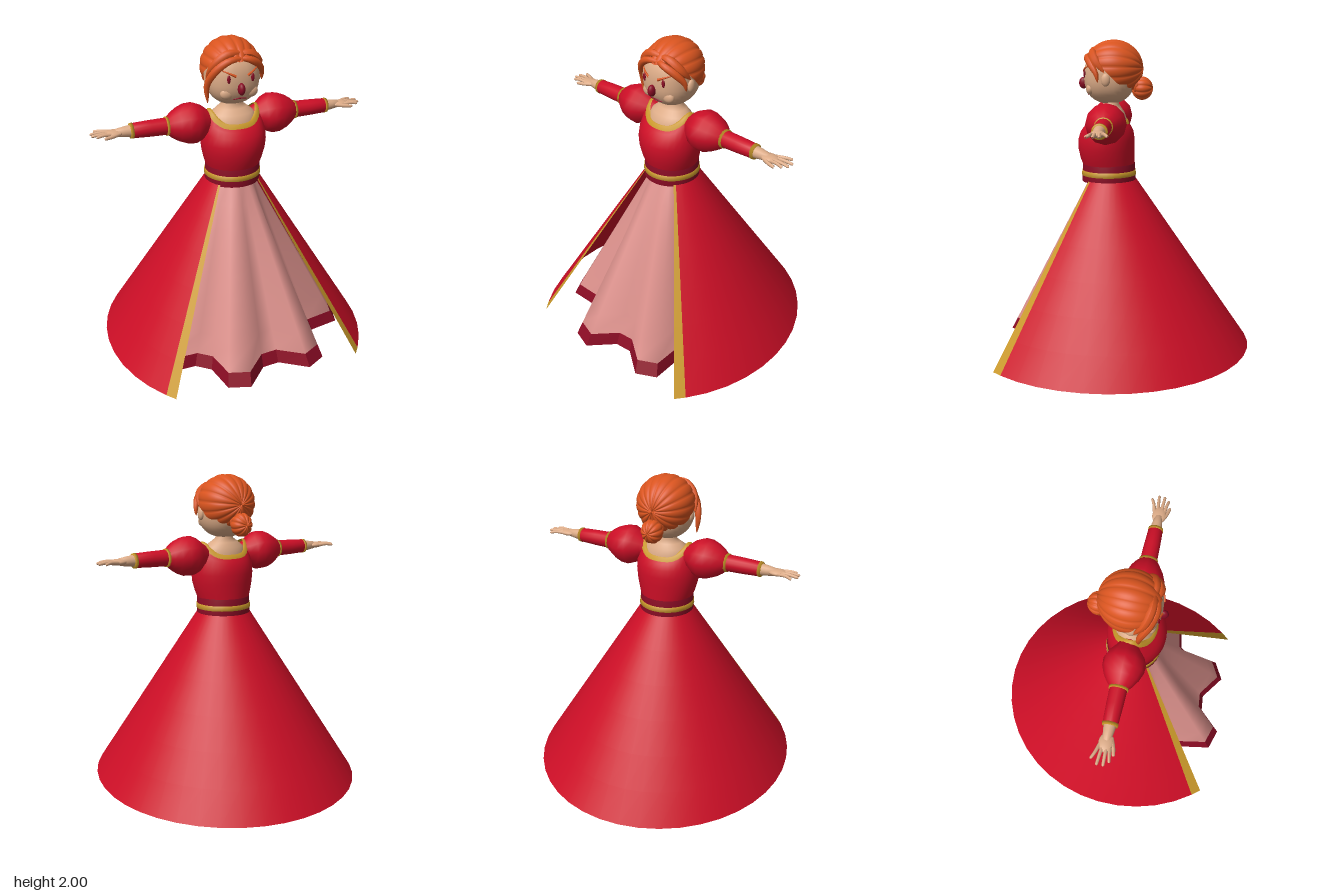
import * as THREE from 'three';

const paint = (name, color, side = THREE.FrontSide) => {
  const m = new THREE.MeshStandardMaterial({ color, side });
  m.name = name;
  return m;
};

// Grid surface from a rule fn(u, v) -> [x, y, z]; closed wraps in u
function surface(nu, nv, closed, fn) {
  const pos = [], idx = [], cols = closed ? nu : nu + 1;
  for (let j = 0; j <= nv; j++)
    for (let i = 0; i < cols; i++) pos.push(...fn(i / nu, j / nv, j));
  for (let j = 0; j < nv; j++)
    for (let i = 0; i < nu; i++) {
      const k = (i + 1) % cols, a = j * cols + i, b = j * cols + k;
      idx.push(a, b, b + cols, a, b + cols, a + cols);
    }
  const g = new THREE.BufferGeometry();
  g.setAttribute('position', new THREE.Float32BufferAttribute(pos, 3));
  g.setIndex(idx);
  g.computeVertexNormals();
  return g;
}

// Stacked ovals: rows of [y, half width, front z, back z, lift at the sides]
const ovals = (rows, n = 32) => surface(n, rows.length - 1, true, (u, v, j) => {
  const [y, rx, zf, zb, lift = 0] = rows[j], a = u * Math.PI * 2;
  return [rx * Math.sin(a), y + lift * Math.sin(a) ** 4,
    (zf + zb) / 2 + (zf - zb) / 2 * Math.cos(a)];
});

// Tube that follows a curve and swells and thins by a rule
function strand(points, radius, taper) {
  const curve = new THREE.CatmullRomCurve3(points.map(p => new THREE.Vector3(...p)));
  const seg = 16, sides = 8;
  const g = new THREE.TubeGeometry(curve, seg, radius, sides);
  const p = g.attributes.position, v = new THREE.Vector3();
  for (let i = 0; i < p.count; i++) {
    const t = Math.floor(i / (sides + 1)) / seg, c = curve.getPointAt(t);
    v.fromBufferAttribute(p, i).sub(c).multiplyScalar(taper(t)).add(c);
    p.setXYZ(i, v.x, v.y, v.z);
  }
  g.computeVertexNormals();
  return g;
}
const leaf = t => 0.08 + 0.92 * Math.sin(Math.PI * Math.min(1, 0.12 + t * 0.88)) ** 0.7;

export function createModel() {
  const root = new THREE.Group();
  root.name = 'woman in gown';
  const D = THREE.DoubleSide;
  const red = paint('red cloth', 0xcc0e26, D), dark = paint('dark red cloth', 0x8a0c24, D);
  const gold = paint('gold trim', 0xc9982a, D), pink = paint('pink cloth', 0xdc918c, D);
  const skin = paint('skin', 0xdcab87), hair = paint('hair', 0xd9541f, D);

  const add = (name, geo, mat, parent = root) => {
    const m = new THREE.Mesh(geo, mat);
    m.name = name;
    parent.add(m);
    return m;
  };
  const ball = (name, mat, at, size, parent = root) => {
    const m = add(name, new THREE.SphereGeometry(1, 20, 14), mat, parent);
    m.position.set(...at);
    m.scale.set(...size);
    return m;
  };

  // Overskirt, open at the front, with gold edges
  const over = (a0, a1, n) => surface(n, 6, false, (u, v) => {
    const a = THREE.MathUtils.degToRad(a0 + (a1 - a0) * u), c = Math.cos(a);
    const rx = 0.857 + (0.175 - 0.857) * v;
    const rz = (c > 0 ? 0.95 : 0.92) * (1 - v) + 0.175 * v;
    return [rx * Math.sin(a), 0.01 + 1.1 * v, 0.1 + 0.005 * v + rz * c];
  });
  add('overskirt', over(50, 310, 30), red);
  add('leftSkirtTrim', over(45.5, 50, 1), gold);
  add('rightSkirtTrim', over(310, 314.5, 1), gold);

  // Pleated underskirt: eight flat-topped folds
  const under = (y0, y1, nv) => surface(32, nv, true, (u, v) => {
    const k = Math.round(u * 32), a = k * Math.PI / 16, y = y0 + (y1 - y0) * v;
    const wide = k % 4 < 2 ? 0.565 : 0.725;
    const r = wide + (0.14 - wide) * y / 1.1;
    return [r * Math.sin(a), y, 0.1 + r * Math.cos(a)];
  });
  add('underskirt', under(0.08, 1.1, 8), pink);
  const hem = under(0, 0.08, 1).toNonIndexed();
  hem.computeVertexNormals();
  add('underskirtHem', hem, dark);

  // Waistband
  const band = (y0, y1, o) => ovals([
    [y0, 0.165, 0.27, -0.055], [y0, 0.175 + o, 0.28 + o, -0.065 - o],
    [y1, 0.172 + o, 0.277 + o, -0.062 - o], [y1, 0.16, 0.265, -0.05]]);
  add('waistband', band(1.1, 1.215, 0), dark);
  add('waistbandStripe', band(1.14, 1.172, 0.004), gold);

  // Bodice, neckline trim, chest and neck
  add('bodice', ovals([
    [1.2, 0.168, 0.272, -0.057], [1.25, 0.185, 0.29, -0.058], [1.31, 0.2, 0.303, -0.06],
    [1.37, 0.207, 0.304, -0.06], [1.42, 0.203, 0.288, -0.052, 0.02],
    [1.455, 0.185, 0.262, -0.035, 0.06], [1.475, 0.168, 0.24, -0.02, 0.08]]), red);
  add('necklineTrim', ovals([
    [1.47, 0.172, 0.248, -0.026, 0.08], [1.497, 0.158, 0.236, -0.014, 0.08],
    [1.495, 0.14, 0.222, 0.0, 0.08]]), gold);
  add('chestAndNeck', ovals([
    [1.44, 0.16, 0.235, -0.015], [1.5, 0.152, 0.228, -0.008], [1.54, 0.135, 0.2, 0.005],
    [1.57, 0.095, 0.165, 0.025], [1.595, 0.06, 0.145, 0.04], [1.68, 0.055, 0.145, 0.045]]), skin);

  for (const s of [1, -1]) {
    const side = s > 0 ? 'left' : 'right';

    // Arm, turned around the x axis from [x, radius] profiles
    const arm = new THREE.Group();
    arm.name = side + 'Arm';
    arm.position.set(0, 1.495, 0.1);
    root.add(arm);
    const turned = (name, pts, mat, n = 16) => add(name,
      new THREE.LatheGeometry(pts.map(([x, r]) => new THREE.Vector2(r, x)), n)
        .rotateZ(-s * Math.PI / 2), mat, arm);
    turned('puffSleeve', [[0.12, 0.05], [0.165, 0.075], [0.205, 0.108], [0.25, 0.127],
      [0.3, 0.124], [0.35, 0.104], [0.39, 0.078], [0.415, 0.055]], red, 12);
    turned('sleeveBand', [[0.408, 0.03], [0.408, 0.058], [0.426, 0.058], [0.426, 0.03]], gold);
    turned('lowerSleeve', [[0.42, 0.052], [0.52, 0.05], [0.635, 0.045], [0.636, 0.02]], red);
    turned('cuff', [[0.627, 0.02], [0.627, 0.048], [0.645, 0.046], [0.645, 0.02]], gold);
    turned('wrist', [[0.63, 0.038], [0.68, 0.032], [0.73, 0.024], [0.75, 0.0]], skin);
    ball('palm', skin, [s * 0.742, 0, 0], [0.06, 0.02, 0.043], arm);
    const fingers = [[-0.03, 0.85, -0.066], [-0.012, 0.88, -0.025], [0.008, 0.878, 0.012], [0.026, 0.853, 0.042]];
    for (const [z0, x1, z1] of fingers)
      add('finger', strand([[s * 0.75, 0, z0], [s * 0.81, 0.006, (z0 + z1) / 2], [s * x1, 0, z1]],
        0.0115, t => t > 0.97 ? 0.3 : 1 - 0.25 * t), skin, arm);
    add('thumb', strand([[s * 0.71, 0, 0.025], [s * 0.76, -0.005, 0.046], [s * 0.81, -0.008, 0.058]],
      0.013, t => t > 0.97 ? 0.3 : 1 - 0.25 * t), skin, arm);

    // Leg and bare foot
    const leg = add(side + 'Leg', new THREE.CylinderGeometry(0.065, 0.04, 1.05, 14), skin);
    leg.position.set(s * 0.06, 0.6, 0.09);
    ball(side + 'Foot', skin, [s * 0.065, 0.065, 0.13], [0.06, 0.055, 0.1]);
  }

  // Head: a slightly squared ball
  const R = [0.163, 0.173, 0.162], C = [-0.003, 1.772, 0.1], soft = 0.85;
  const head = new THREE.SphereGeometry(1, 32, 24), hp = head.attributes.position;
  for (let i = 0; i < hp.count; i++) {
    const p = [hp.getX(i), hp.getY(i), hp.getZ(i)]
      .map((c, k) => C[k] + R[k] * Math.sign(c) * Math.abs(c) ** soft);
    hp.setXYZ(i, ...p);
  }
  head.computeVertexNormals();
  add('head', head, skin);
  const faceZ = (x, y) => C[2] + R[2] * Math.max(0, 1 - (Math.abs(x - C[0]) / R[0]) ** (2 / soft)
    - (Math.abs(y - C[1]) / R[1]) ** (2 / soft)) ** (soft / 2);
  const onFace = (x, y, o = 0.002) => [x, y, faceZ(x, y) + o];

  // Face
  for (const s of [1, -1]) {
    ball('eye', dark, onFace(s * 0.075 - 0.003, 1.79), [0.011, 0.025, 0.007]);
    add('eyebrow', strand([onFace(s * 0.036, 1.806), onFace(s * 0.07, 1.822), onFace(s * 0.108, 1.838)],
      0.008, t => 1 - 0.6 * t), hair);
    ball('ear', skin, [s * 0.162, 1.755, 0.11], [0.018, 0.04, 0.028]);
    ball('cheek', skin, onFace(s * 0.075, 1.695, -0.022), [0.045, 0.038, 0.027]);
  }
  ball('nose', dark, [-0.005, 1.728, 0.268], [0.022, 0.037, 0.029]);
  add('mouth', strand([onFace(-0.045, 1.658), onFace(-0.003, 1.664), onFace(0.04, 1.658)],
    0.004, () => 1), dark);

  // Hair: grooved shells whose locks meet at the back
  const locks = (c, r, n, depth, reach) => surface(n * 8, 24, true, (u, v) => {
    const f = u * Math.PI * 2, t = v * reach(Math.cos(f)) * Math.PI / 180;
    const k = 1 - depth + depth * Math.abs(Math.sin(f * n / 2)) ** 0.6;
    return [c[0] - r[0] * k * Math.sin(t) * Math.sin(f),
      c[1] + r[1] * k * Math.sin(t) * Math.cos(f), c[2] - r[2] * k * Math.cos(t)];
  });
  add('hairCap', locks([-0.005, 1.818, 0.075], [0.182, 0.182, 0.188], 17, 0.035, up => 104 + 54 * up), hair);
  add('hairBun', locks([-0.005, 1.695, -0.107], [0.07, 0.075, 0.068], 10, 0.1, () => 180), hair);
  add('bunTie', new THREE.TorusGeometry(0.045, 0.016, 8, 20), hair).position.set(-0.005, 1.71, -0.07);

  // Swept fringe on both sides of the parting
  const fringe = [
    [[0.015, 1.9, 0.225], [-0.07, 1.893, 0.235], [-0.145, 1.83, 0.205], [-0.183, 1.74, 0.165], [-0.178, 1.63, 0.16]],
    [[0.02, 1.925, 0.2], [-0.07, 1.925, 0.205], [-0.145, 1.86, 0.18], [-0.178, 1.77, 0.13]],
    [[0.01, 1.9, 0.225], [0.06, 1.892, 0.235], [0.125, 1.85, 0.208], [0.163, 1.79, 0.17], [0.168, 1.74, 0.16]],
    [[0.01, 1.925, 0.2], [0.07, 1.92, 0.2], [0.135, 1.87, 0.175], [0.165, 1.8, 0.12]]
  ];
  fringe.forEach((p, i) => add('fringeLock', strand(p, i % 2 ? 0.028 : 0.024, leaf), hair));

  return root;
}
